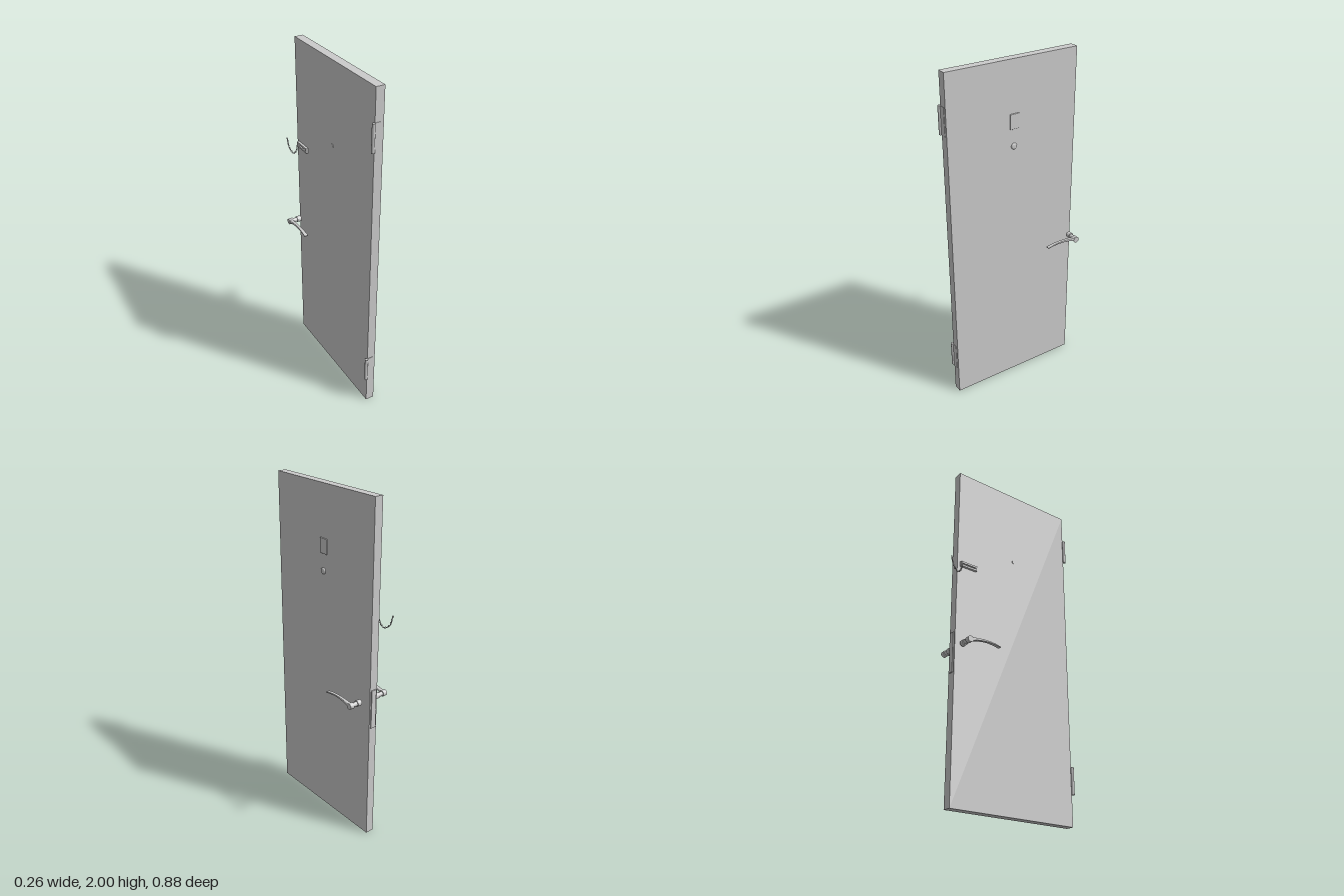
import * as THREE from 'three';
import { RoundedBoxGeometry } from 'three/addons/geometries/RoundedBoxGeometry.js';

const material = new THREE.MeshStandardMaterial({ color: 0xcccccc });

function add(parent, name, geometry, x = 0, y = 0, z = 0) {
  const mesh = new THREE.Mesh(geometry, material);
  mesh.name = name;
  mesh.position.set(x, y, z);
  parent.add(mesh);
  return mesh;
}

// Solid of revolution about the x axis; profile is [radius, x] pairs
function turned(profile, sides = 32) {
  const points = profile.map(([r, x]) => new THREE.Vector2(r, x));
  return new THREE.LatheGeometry(points, sides).rotateZ(-Math.PI / 2);
}

// Straight cylinder along x between two positions
function barX(x0, x1, r) {
  return new THREE.CylinderGeometry(r, r, Math.abs(x1 - x0), 32)
    .rotateZ(Math.PI / 2).translate((x0 + x1) / 2, 0, 0);
}

// Lever lofted from rounded cross-sections: [z, y, x centre, half width, half height]
function leverGeometry(side) {
  const stations = [
    [-0.335, 0.879, 0.1190, 0.0110, 0.0150],
    [-0.318, 0.884, 0.1190, 0.0110, 0.0110],
    [-0.290, 0.891, 0.1195, 0.0100, 0.0080],
    [-0.250, 0.896, 0.1205, 0.0090, 0.0065],
    [-0.210, 0.897, 0.1205, 0.0090, 0.0055],
    [-0.170, 0.893, 0.1195, 0.0105, 0.0045],
    [-0.137, 0.886, 0.1185, 0.0120, 0.0030],
  ];
  const n = 20, pos = [], index = [];
  const quad = (a, b, c) => (side > 0 ? index.push(a, b, c) : index.push(a, c, b));
  for (const [z, y, cx, w, h] of stations) {
    for (let i = 0; i < n; i++) {
      const a = (i / n) * Math.PI * 2, c = Math.cos(a), s = Math.sin(a);
      const px = Math.sign(c) * Math.sqrt(Math.abs(c)) * w;
      const py = Math.sign(s) * Math.sqrt(Math.abs(s)) * h;
      pos.push(side * (cx + px), y + py, z);
    }
  }
  for (let k = 0; k < stations.length - 1; k++) {
    for (let i = 0; i < n; i++) {
      const a = k * n + i, b = k * n + (i + 1) % n;
      quad(a, b, a + n);
      quad(b, b + n, a + n);
    }
  }
  // Tip cap
  const last = (stations.length - 1) * n;
  for (let i = 1; i < n - 1; i++) quad(last, last + i, last + i + 1);
  const geometry = new THREE.BufferGeometry();
  geometry.setAttribute('position', new THREE.Float32BufferAttribute(pos, 3));
  geometry.setIndex(index);
  geometry.computeVertexNormals();
  return geometry;
}

function createHandle(side) {
  const handle = new THREE.Group();
  handle.name = side > 0 ? 'leftHandle' : 'rightHandle';
  add(handle, 'handleCollar', barX(side * 0.053, side * 0.079, 0.0175), 0, 0.88, -0.335);
  add(handle, 'handleNeck', barX(side * 0.078, side * 0.108, 0.0125), 0, 0.88, -0.335);
  add(handle, 'handleHub', barX(side * 0.106, side * 0.132, 0.0175), 0, 0.88, -0.335);
  add(handle, 'handleLever', leverGeometry(side));
  return handle;
}

function createHinge(y) {
  const hinge = new THREE.Group();
  hinge.name = 'hinge';
  add(hinge, 'hingeBarrel', new THREE.CylinderGeometry(0.009, 0.009, 0.156, 24), -0.043, y, 0.428);
  add(hinge, 'hingeLeaf', new THREE.BoxGeometry(0.043, 0.156, 0.003), -0.0215, y, 0.4265);
  return hinge;
}

// Slotted track for the chain, lying along z on the inner face
function createChainTrack() {
  const track = new THREE.Group();
  track.name = 'chainTrack';
  const shape = new THREE.Shape();
  shape.moveTo(-0.054, -0.015).lineTo(0.054, -0.015).lineTo(0.054, 0.015).lineTo(-0.054, 0.015).closePath();
  const slot = new THREE.Path();
  slot.absarc(-0.040, 0, 0.004, Math.PI * 1.5, Math.PI * 0.5, true);
  slot.absarc(0.040, 0, 0.004, Math.PI * 0.5, -Math.PI * 0.5, true);
  shape.holes.push(slot);
  const face = new THREE.ExtrudeGeometry(shape, { depth: 0.009, bevelEnabled: false, curveSegments: 10 });
  face.rotateY(-Math.PI / 2);
  add(track, 'trackFace', face, -0.040, 1.375, -0.301);
  add(track, 'trackBase', new THREE.BoxGeometry(0.006, 0.03, 0.108), -0.0375, 1.375, -0.301);
  return track;
}

// Hanging chain of interlocked oval links
function createChain() {
  const chain = new THREE.Group();
  chain.name = 'chain';
  const curve = new THREE.CatmullRomCurve3([
    new THREE.Vector3(-0.049, 1.382, -0.350),
    new THREE.Vector3(-0.053, 1.335, -0.357),
    new THREE.Vector3(-0.060, 1.306, -0.381),
    new THREE.Vector3(-0.068, 1.326, -0.417),
    new THREE.Vector3(-0.072, 1.378, -0.434),
  ]);
  const count = 20;
  const link = new THREE.TorusGeometry(0.0038, 0.0013, 8, 16).scale(1.75, 1, 1);
  for (let i = 0; i < count; i++) {
    const u = i / (count - 1), p = curve.getPointAt(u);
    const mesh = add(chain, 'chainLink', link, p.x, p.y, p.z);
    mesh.quaternion.setFromUnitVectors(new THREE.Vector3(1, 0, 0), curve.getTangentAt(u));
    mesh.rotateX(i % 2 ? Math.PI / 2 : 0);
  }
  return chain;
}

export function createModel() {
  const model = new THREE.Group();
  model.name = 'door';

  add(model, 'doorPanel', new THREE.BoxGeometry(0.05, 2, 0.799), -0.01, 1, 0.0265);

  // Hinges on the front edge
  model.add(createHinge(1.742), createHinge(0.253));

  // Lever handles on both faces
  model.add(createHandle(1), createHandle(-1));

  // Lock plate on the back edge
  add(model, 'lockPlate', new RoundedBoxGeometry(0.033, 0.235, 0.008, 3, 0.002), -0.0095, 0.833, -0.375);

  // Plate above the peephole
  add(model, 'numberPlate', new RoundedBoxGeometry(0.010, 0.086, 0.058, 3, 0.003), 0.016, 1.665, 0.023);

  // Peephole: domed rim outside, small ring inside
  add(model, 'peepholeOuter', turned([
    [0.018, 0], [0.018, 0.004], [0.015, 0.007], [0.010, 0.009], [0.008, 0.007], [0.005, 0.0085], [0, 0.009],
  ]), 0.015, 1.525, 0.026);
  add(model, 'peepholeInner', barX(-0.030, -0.038, 0.012), 0, 1.525, 0.026);

  // Door chain
  model.add(createChainTrack(), createChain());
  return model;
}
